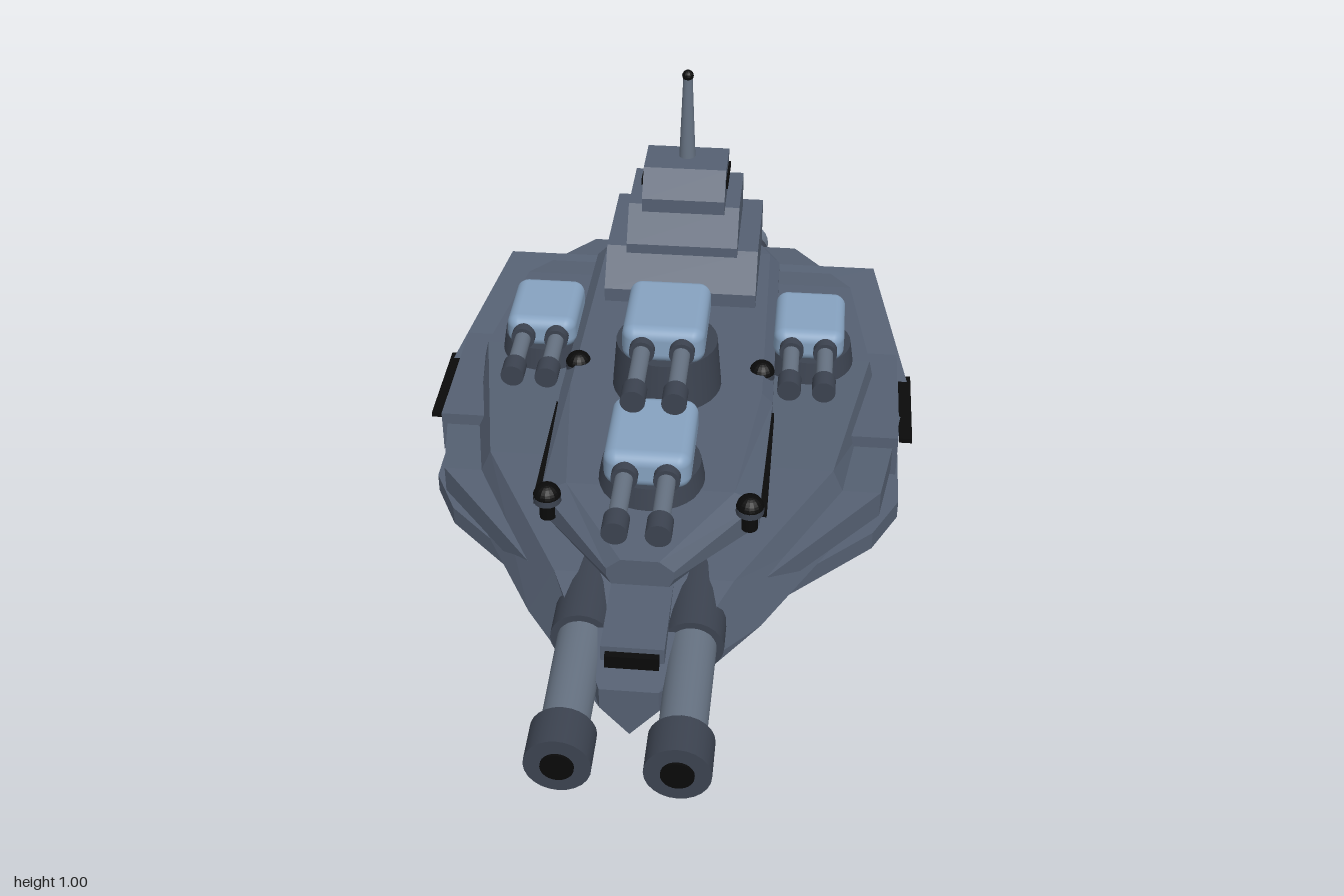
import * as THREE from 'three';
import { RoundedBoxGeometry } from 'three/addons/geometries/RoundedBoxGeometry.js';

const mat = (color, flat = true) => new THREE.MeshStandardMaterial({ color, flatShading: flat });
const HULL = mat(0x556072), DARK = mat(0x3c4350, false), STEEL = mat(0x667282, false);
const BLUE = mat(0x86a2c0, false), BLACK = mat(0x0a0a0a);

export function createModel() {
  const root = new THREE.Group();

  function add(name, geo, material, x = 0, y = 0, z = 0, parent = root) {
    const m = new THREE.Mesh(geo, material);
    m.name = name;
    m.position.set(x, y, z);
    parent.add(m);
    return m;
  }
  const box = (name, w, h, d, x, y, z, material = BLACK) =>
    add(name, new THREE.BoxGeometry(w, h, d), material, x, y, z);

  // Skin through closed cross-sections, front to rear, points anticlockwise from the front
  function loft(name, sections, material) {
    const n = sections[0].length, pos = sections.flat(2), idx = [];
    for (let i = 0; i < sections.length - 1; i++)
      for (let j = 0; j < n; j++) {
        const a = i * n + j, b = i * n + (j + 1) % n;
        idx.push(a, a + n, b, b, a + n, b + n);
      }
    const last = (sections.length - 1) * n;
    for (let j = 1; j < n - 1; j++) idx.push(0, j, j + 1, last, last + j + 1, last + j);
    const g = new THREE.BufferGeometry();
    g.setAttribute('position', new THREE.Float32BufferAttribute(pos, 3));
    g.setIndex(idx);
    const flat = g.toNonIndexed();
    flat.computeVertexNormals();
    return add(name, flat, material);
  }

  // Flat plate from (x, z) outline
  function plate(name, pts, y, h, material) {
    const s = new THREE.Shape(pts.map(([x, z]) => new THREE.Vector2(x, -z)));
    const g = new THREE.ExtrudeGeometry(s, { depth: h, bevelEnabled: false });
    return add(name, g.rotateX(-Math.PI / 2), material, 0, y, 0);
  }

  // Solid from (z, y) side outline, centred on x
  function sideSolid(name, pts, w, material) {
    const s = new THREE.Shape(pts.map(([z, y]) => new THREE.Vector2(-z, y)));
    const g = new THREE.ExtrudeGeometry(s, { depth: w, bevelEnabled: false });
    return add(name, g.translate(0, 0, -w / 2).rotateY(Math.PI / 2), material);
  }

  // Tube or cone along z, from z0 (rear) to z1 (front)
  function rod(name, x, y, z0, z1, rRear, rFront, material, parent = root) {
    const g = new THREE.CylinderGeometry(rFront, rRear, z1 - z0, 24).rotateX(Math.PI / 2);
    return add(name, g, material, x, y, (z0 + z1) / 2, parent);
  }

  // Hull: z, keel y, chine x, chine y, top x, top y
  loft('hull', [
    [0.79, 0.17, 0.06, 0.24, 0.06, 0.29],
    [0.5, 0.11, 0.25, 0.22, 0.19, 0.34],
    [0.13, 0.08, 0.45, 0.22, 0.39, 0.36],
    [-0.3, 0.07, 0.5, 0.235, 0.47, 0.372],
    [-0.63, 0.075, 0.45, 0.25, 0.42, 0.375],
    [-0.84, 0.1, 0.29, 0.25, 0.27, 0.36],
  ].map(([z, k, cx, cy, tx, ty]) => [[0, k, z], [cx, cy, z], [tx, ty, z], [-tx, ty, z], [-cx, cy, z]]), HULL);

  // Side plates rising toward the stern
  loft('sidePlates', [
    [0.42, 0.26, 0.24, 0.29],
    [0.13, 0.5, 0.24, 0.305],
    [-0.31, 0.57, 0.24, 0.295],
    [-0.73, 0.48, 0.3, 0.375],
  ].map(([z, w, b, t]) => [[-w, b, z], [w, b, z], [w, t, z], [-w, t, z]]), HULL);

  // Upper deck: z, base x, wide x, top x, top y
  loft('upperDeck', [
    [0.57, 0.06, 0.07, 0.04, 0.375, 0.44],
    [0.36, 0.2, 0.235, 0.18, 0.36, 0.465],
    [0, 0.23, 0.245, 0.22, 0.36, 0.47],
    [-0.62, 0.22, 0.235, 0.21, 0.36, 0.47],
    [-0.79, 0.14, 0.15, 0.13, 0.36, 0.455],
  ].map(([z, b, w, t, yb, yt]) => [[-b, yb, z], [b, yb, z], [w, yb + 0.02, z], [w, yt - 0.025, z],
    [t, yt, z], [-t, yt, z], [-w, yt - 0.025, z], [-w, yb + 0.02, z]]), HULL);

  // Keel fin
  sideSolid('keelFin', [[0.35, 0.09], [0.14, 0.015], [-0.72, 0], [-0.68, 0.1]], 0.026, HULL);
  box('noseSlot', 0.11, 0.04, 0.015, 0, 0.31, 0.73);
  box('noseBlock', 0.13, 0.05, 0.2, 0, 0.315, 0.62, HULL);

  for (const s of [1, -1]) {
    // Lower wings and side panels
    const wing = [[0.15, 0.45], [0.49, 0.12], [0.55, 0], [0.55, -0.44], [0.36, -0.61], [0.15, -0.61]];
    plate('lowerWing', wing.map(([x, z]) => [s * x, z]), 0.133, 0.046, HULL);
    box('sidePanel', 0.12, 0.105, 0.35, s * 0.48, 0.278, -0.22, HULL);
    box('panelSlot', 0.03, 0.012, 0.26, s * 0.56, 0.292, -0.22);

    // Deck rails and sensor domes
    box('deckRail', 0.014, 0.02, 0.35, s * 0.243, 0.425, 0.2);
    for (const z of [0.4, -0.1]) {
      add('sensorPost', new THREE.CylinderGeometry(0.018, 0.018, 0.07, 16), BLACK, s * 0.215, 0.44, z);
      add('sensorDome', new THREE.SphereGeometry(0.03, 16, 8, 0, Math.PI * 2, 0, Math.PI / 2), BLACK, s * 0.215, 0.46, z);
      add('domeBase', new THREE.CylinderGeometry(0.03, 0.03, 0.015, 16), DARK, s * 0.215, 0.455, z);
    }

    // Heavy bow guns
    const x = s * 0.115, y = 0.28;
    rod('gunCollar', x, y, 0.42, 0.64, 0.065, 0.065, DARK);
    rod('gunBarrel', x, y, 0.6, 0.92, 0.05, 0.048, STEEL);
    rod('gunMuzzle', x, y, 0.9, 0.99, 0.066, 0.066, DARK);
    rod('gunBore', x, y, 0.97, 0.995, 0.033, 0.033, BLACK);

    // Engines
    for (const ey of [0.295, 0.145]) {
      const ex = s * 0.13;
      rod('engineBody', ex, ey, -0.91, -0.7, 0.068, 0.07, DARK);
      rod('engineNeck', ex, ey, -0.945, -0.9, 0.048, 0.062, STEEL);
      rod('engineNozzle', ex, ey, -0.97, -0.94, 0.064, 0.046, STEEL);
      rod('exhaustCone', ex, ey, -1, -0.965, 0.001, 0.048, BLACK);
    }
  }

  // Bridge tower in three tiers, with sloped fronts
  const tier = (name, w, pts) => sideSolid(name, pts, w, HULL);
  tier('towerLower', 0.37, [[-0.36, 0.45], [-0.36, 0.505], [-0.43, 0.588], [-0.69, 0.588], [-0.69, 0.45]]);
  tier('towerMiddle', 0.27, [[-0.41, 0.58], [-0.41, 0.605], [-0.47, 0.685], [-0.65, 0.685], [-0.65, 0.58]]);
  tier('towerUpper', 0.2, [[-0.44, 0.68], [-0.44, 0.715], [-0.49, 0.775], [-0.605, 0.775], [-0.605, 0.68]]);
  box('bridgeWindows', 0.21, 0.018, 0.11, 0, 0.737, -0.54);
  add('mast', new THREE.CylinderGeometry(0.011, 0.02, 0.22, 16), STEEL, 0, 0.88, -0.56);
  add('mastLight', new THREE.SphereGeometry(0.014, 12, 8), BLACK, 0, 0.988, -0.56);

  // Twin-barrel turrets
  function turret(name, x, y, z, w, h, baseR, baseH, reach) {
    const t = new THREE.Group();
    t.name = name;
    t.position.set(x, y, z);
    root.add(t);
    add('turretBase', new THREE.CylinderGeometry(baseR * 0.92, baseR, baseH, 32), DARK, 0, -h / 2 - baseH / 2, 0, t);
    const len = w * 1.15, g = new RoundedBoxGeometry(w, h, len, 4, 0.028);
    const p = g.attributes.position;
    // Pinch the housing toward both ends
    for (let i = 0; i < p.count; i++) {
      const k = Math.abs(p.getZ(i)) / (len / 2);
      p.setX(i, p.getX(i) * (1 - 0.14 * k * k));
      p.setY(i, p.getY(i) * (1 - 0.12 * k * k));
    }
    add('turretHousing', g, BLUE, 0, 0, 0, t);
    const front = len / 2;
    for (const s of [1, -1]) {
      const bx = s * w * 0.22;
      rod('barrelCollar', bx, 0, front - 0.02, front + 0.02, 0.028, 0.028, DARK, t);
      rod('barrel', bx, 0, front, reach - 0.03, 0.019, 0.019, STEEL, t);
      rod('barrelMuzzle', bx, 0, reach - 0.05, reach, 0.027, 0.027, DARK, t);
    }
  }
  turret('rearMainTurret', 0, 0.635, -0.03, 0.2, 0.095, 0.125, 0.12, 0.32);
  turret('frontMainTurret', 0, 0.558, 0.32, 0.2, 0.092, 0.115, 0.05, 0.31);
  for (const s of [1, -1]) turret('sideTurret', s * 0.32, 0.467, -0.3, 0.18, 0.085, 0.11, 0.06, 0.28);

  return root;
}
